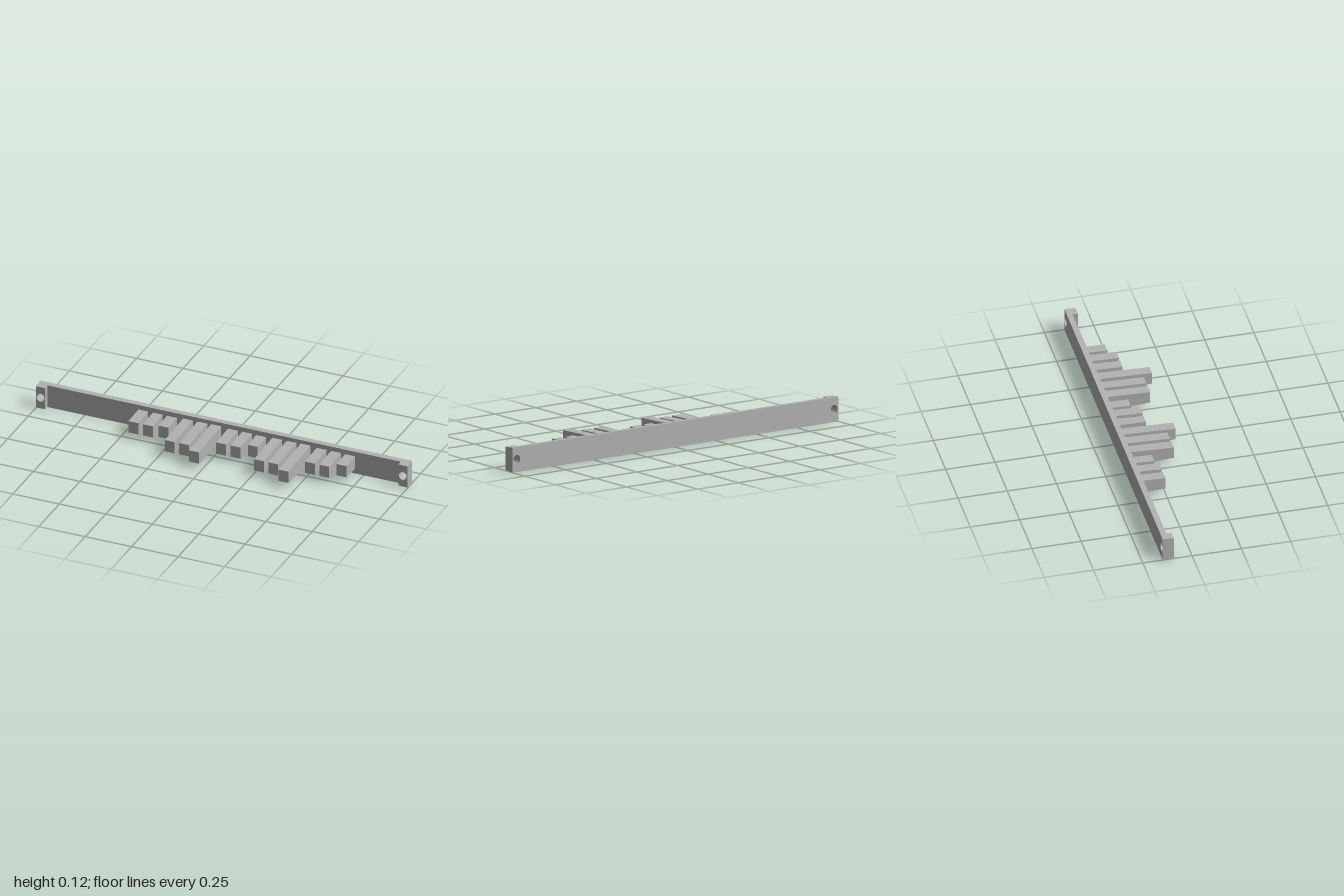
import * as THREE from 'three';

const MID = 0.0635; // height of the centre line
const BACK = -0.149, PLATE = -0.12, LUG = -0.092;

export function createModel() {
  const group = new THREE.Group();
  const grey = new THREE.MeshStandardMaterial({ color: 0xb2b2b2 });
  grey.name = 'grey plastic';

  const add = (name, geometry) => {
    const mesh = new THREE.Mesh(geometry, grey);
    mesh.name = name;
    group.add(mesh);
  };

  // Rectangle with round screw holes at the given x positions, drafted in height towards +z
  const plate = (x0, x1, z0, z1, holes) => {
    const s = new THREE.Shape();
    s.moveTo(x0, -1).lineTo(x1, -1).lineTo(x1, 1).lineTo(x0, 1).closePath();
    const half = z => 0.0625 - 0.055 * (z - BACK);
    for (const hx of holes) {
      const points = [];
      for (let i = 0; i < 12; i++) {
        const a = -i / 12 * Math.PI * 2;
        points.push(new THREE.Vector2(hx + 0.0215 * Math.cos(a), 0.024 / 0.0625 * Math.sin(a)));
      }
      s.holes.push(new THREE.Path(points));
    }
    const g = new THREE.ExtrudeGeometry(s, { depth: z1 - z0, bevelEnabled: false });
    g.translate(0, 0, z0);
    const p = g.attributes.position;
    for (let i = 0; i < p.count; i++) p.setY(i, MID + p.getY(i) * half(p.getZ(i)));
    g.computeVertexNormals();
    return g;
  };

  // Long back plate and the two end lugs
  add('backPlate', plate(-1, 1, BACK, PLATE, [-0.975, 0.975]));
  add('rightLug', plate(-1, -0.951, PLATE, LUG, [-0.975]));
  add('leftLug', plate(0.951, 1, PLATE, LUG, [0.975]));

  // Finger blocks: [centre x, tip z], thicker towards the plate
  const fingers = [
    [-0.434, 0], [-0.356, 0], [-0.28, -0.018],
    [-0.193, 0.102], [-0.116, 0.102], [-0.042, 0.149],
    [0.048, 0.022], [0.125, 0.022], [0.2, -0.018],
    [0.287, 0.102], [0.364, 0.102], [0.44, 0.149],
    [0.526, 0.022], [0.603, 0.022], [0.678, -0.018],
  ];
  fingers.forEach(([x, tip], n) => {
    const g = new THREE.BoxGeometry(0.053, 2, tip - PLATE);
    g.translate(x, 0, (tip + PLATE) / 2);
    const p = g.attributes.position;
    for (let i = 0; i < p.count; i++) {
      p.setY(i, MID + p.getY(i) * (0.0315 + 0.038 * (tip - p.getZ(i))));
    }
    g.computeVertexNormals();
    add('finger' + (n + 1), g);
  });

  return group;
}
